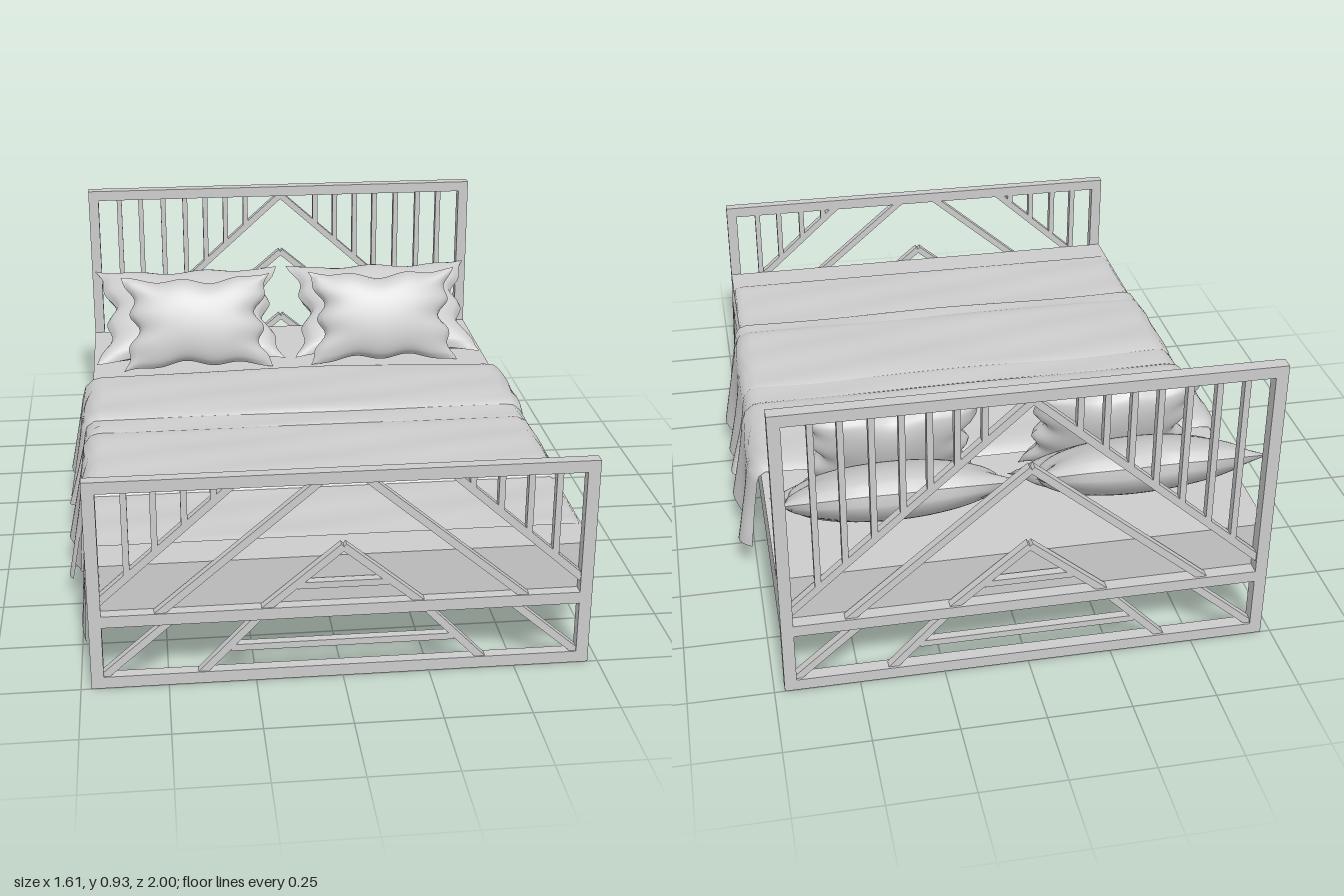
import * as THREE from 'three';

const grey = new THREE.MeshStandardMaterial({ color: 0xcccccc });
const cloth = new THREE.MeshStandardMaterial({ color: 0xcccccc, side: THREE.DoubleSide });

function box(parent, name, w, h, d, x, y, z) {
  const m = new THREE.Mesh(new THREE.BoxGeometry(w, h, d), grey);
  m.position.set(x, y, z);
  m.name = name;
  parent.add(m);
  return m;
}

// Straight bar between two points in the plane of a board
function bar(parent, name, x1, y1, x2, y2, width = 0.022, depth = 0.026) {
  const len = Math.hypot(x2 - x1, y2 - y1);
  const m = box(parent, name, len, width, depth, (x1 + x2) / 2, (y1 + y2) / 2, 0);
  m.rotation.z = Math.atan2(y2 - y1, x2 - x1);
}

// Grid surface: rule(u, v) with u, v in -1..1 returns [x, y, z]
function surface(nu, nv, rule) {
  const g = new THREE.PlaneGeometry(2, 2, nu, nv);
  const p = g.attributes.position;
  for (let i = 0; i < p.count; i++) p.setXYZ(i, ...rule(p.getX(i), p.getY(i)));
  g.computeVertexNormals();
  return g;
}

// Lattice board: the same pattern is cut off at the height of the top rail
function board(name, top, z, depth) {
  const g = new THREE.Group();
  g.name = name;
  g.position.z = z;
  const t = 0.036, half = 0.72, inner = half - t, mid = 0.213;
  const limit = top - t / 2;
  for (const s of [-1, 1]) box(g, 'post', t, top, depth, s * (half - t / 2), top / 2, 0);
  for (const y of [t / 2, mid, top - t / 2]) box(g, 'rail', 2 * inner, t, depth, 0, y, 0);

  // Chevrons: apex height and slope
  const chevrons = [[0.895, 0.9], [0.672, 0.85], [0.412, 0.84]];
  for (const s of [-1, 1]) {
    for (const [apex, slope] of chevrons) {
      const x1 = Math.max(0, (apex - limit) / slope);
      const x2 = Math.min(inner + 0.01, (apex - mid) / slope);
      bar(g, 'chevron', s * x1, apex - slope * x1, s * x2, apex - slope * x2);
    }
    // Upright slats standing on the outer chevron
    for (const x of [0.607, 0.527, 0.443, 0.361, 0.285, 0.209, 0.133]) {
      const y = 0.895 - 0.9 * x;
      if (y < limit - 0.03) bar(g, 'slat', s * x, y, s * x, limit, 0.018);
    }
    // Struts under the middle rail
    bar(g, 'lowerStrut', s * 0.23, mid, s * 0.41, 0.025);
    bar(g, 'lowerStrut', s * 0.48, mid, s * 0.695, 0.025);
  }
  bar(g, 'crossBar', -0.13, 0.295, 0.13, 0.295, 0.02);
  bar(g, 'crossBar', -0.32, 0.107, 0.32, 0.107, 0.02);
  return g;
}

// Four walls of a rectangle, open above and below
function walls(parent, name, w, z0, z1, y0, y1, t) {
  const h = y1 - y0, y = (y0 + y1) / 2;
  for (const s of [-1, 1]) box(parent, name, t, h, z1 - z0, s * (w / 2 - t / 2), y, (z0 + z1) / 2);
  for (const z of [z0 + t / 2, z1 - t / 2]) box(parent, name, w - 2 * t, h, t, 0, y, z);
}

// Cushion with pinched sides, pointed corners and a slightly crumpled seam
function cushion(name, w, h, thick, x, y, z, lean, seed) {
  const g = new THREE.Group();
  g.name = name;
  for (const side of [1, -1]) {
    const geo = surface(36, 28, (u0, v) => {
      const u = u0 * side;
      const crumpleX = 0.018 * Math.sin(v * 9 + seed) * u * u * (1 - v * v);
      const crumpleY = 0.01 * Math.sin(u * 8 + seed) * v * v * (1 - u * u);
      const puff = Math.pow((1 - u * u) * (1 - v * v), 0.55);
      return [
        (w / 2) * u * (1 - 0.17 * (1 - v * v) * u * u) + crumpleX,
        (h / 2) * v * (1 - 0.13 * (1 - u * u) * v * v) + crumpleY,
        side * (thick / 2) * puff * (1 + 0.04 * Math.sin(5 * u + seed) * v),
      ];
    });
    const m = new THREE.Mesh(geo, cloth);
    m.name = side > 0 ? 'cushionFront' : 'cushionBack';
    g.add(m);
  }
  g.position.set(x, y, z);
  g.rotation.x = -lean;
  return g;
}

// Cloth laid over the mattress with both sides hanging down in waves
function blanket(name, z0, z1, lift, hem, flare, seed, bow = 0) {
  const topY = 0.372, r = 0.025, w = 0.722;
  const geo = surface(110, 28, (u, v) => {
    const s = Math.sign(u) || 1;
    const edge = 1 - Math.pow(Math.abs(v), 10);
    const off = 0.003 + lift * (0.25 + 0.75 * edge);
    let z = THREE.MathUtils.lerp(z1, z0, (v + 1) / 2);
    const drop = topY - hem + 0.012 * Math.sin(z * 17 + seed + s);
    const flat = w - r, arc = (r * Math.PI) / 2;
    const d = Math.abs(u) * (flat + arc + drop - r);
    let x, y;
    if (d < flat) {
      x = d;
      y = topY + off + 0.004 * edge * Math.sin(d * s * 7 + z * 11 + seed) * Math.sin(z * 23 + seed);
    } else if (d < flat + arc) {
      const a = (d - flat) / r;
      x = flat + (r + off) * Math.sin(a);
      y = topY - r + (r + off) * Math.cos(a);
    } else {
      const k = (d - flat - arc) / (drop - r);
      x = w + off + k * (flare + 0.45 * flare * Math.sin(z * 27 + seed * 2 + s));
      y = topY - r - k * (drop - r);
      z += 0.012 * k * Math.sin(k * 5 + seed + s) * v;
    }
    // Back hem bows towards the pillows in the middle of the bed
    z -= bow * Math.max(0, v) * Math.cos(Math.min(1, x / w) * Math.PI / 2);
    return [s * x, y, z];
  });
  const m = new THREE.Mesh(geo, cloth);
  m.name = name;
  return m;
}

export function createModel() {
  const model = new THREE.Group();
  model.name = 'bed';

  model.add(board('headboard', 0.93, -0.98, 0.04));
  model.add(board('footboard', 0.645, 0.983, 0.034));

  // Bed rails and the mattress, hollow from below
  walls(model, 'bedRail', 1.44, -0.96, 0.966, 0.195, 0.232, 0.02);
  walls(model, 'mattressSide', 1.44, -0.96, 0.966, 0.232, 0.352, 0.02);
  box(model, 'mattressTop', 1.44, 0.02, 1.926, 0, 0.362, 0.003);

  // Bedding layers from foot to head
  model.add(blanket('footSheet', 0.47, 0.85, 0.004, 0.085, 0.012, 0.4));
  model.add(blanket('sheetFold', 0.44, 0.53, 0.014, 0.12, 0.03, 2.1));
  model.add(blanket('middleBlanket', 0.05, 0.48, 0.022, 0.092, 0.035, 1.3));
  model.add(blanket('blanketFold', -0.05, 0.085, 0.018, 0.125, 0.04, 3.7));
  model.add(blanket('upperBlanket', -0.425, -0.02, 0.032, 0.105, 0.032, 5.2, 0.04));

  // Two large pillows against the headboard, two small ones in front
  for (const s of [-1, 1]) {
    model.add(cushion('largePillow', 0.69, 0.45, 0.17, s * 0.363, 0.5, -0.768, 1.03, 1 + s));
    model.add(cushion('smallPillow', 0.54, 0.34, 0.14, s * 0.34, 0.535, -0.578, 0.4, 4 + s));
  }
  return model;
}
